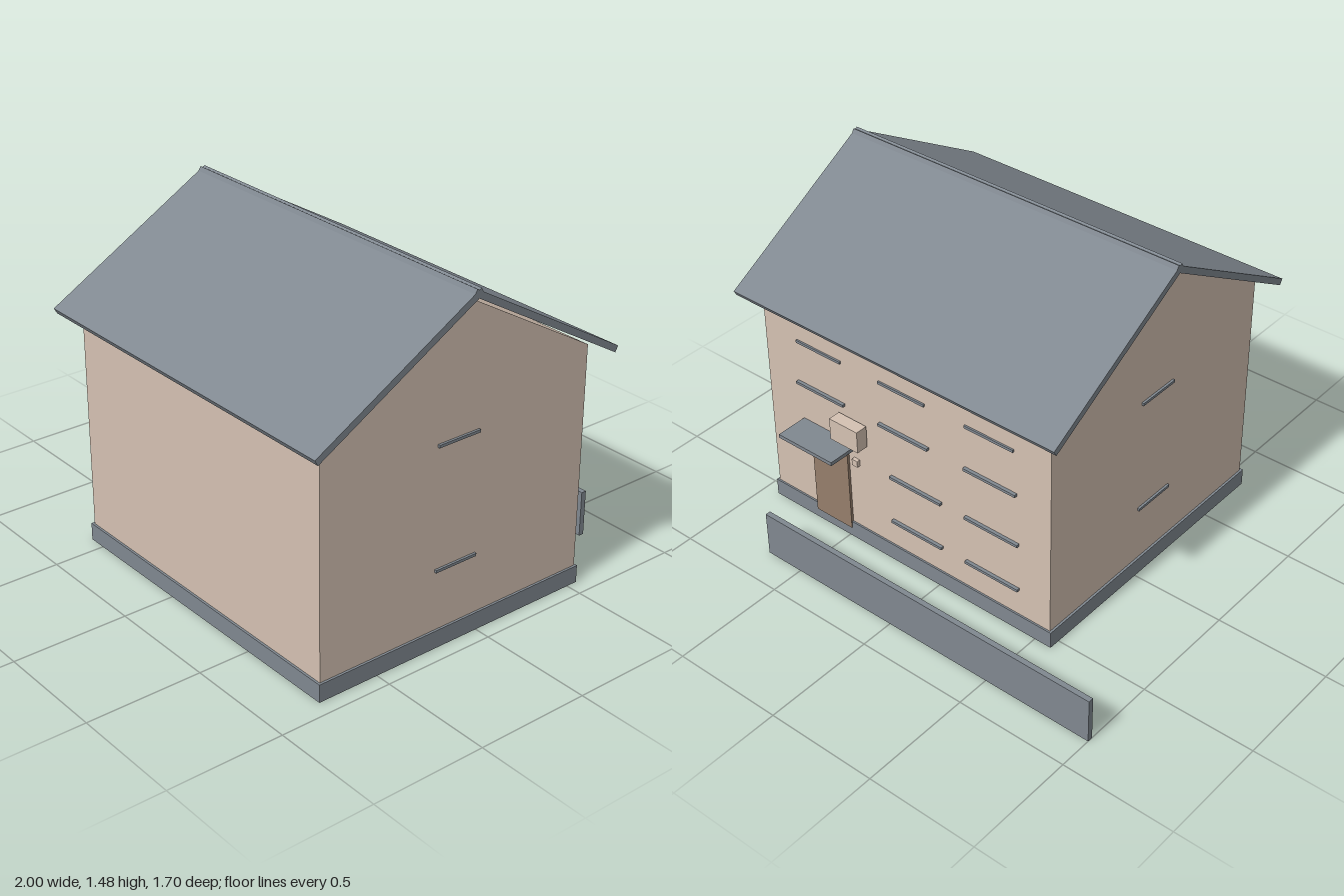
import * as THREE from 'three';

export function createModel() {
  const house = new THREE.Group();
  house.name = 'house';

  const material = (name, color) => {
    const m = new THREE.MeshStandardMaterial({ color });
    m.name = name;
    return m;
  };
  const plaster = material('plaster', 0xd4c1b2);
  const slate = material('slate grey', 0x808890);
  const wood = material('door wood', 0x957e6b);

  // Box given by its limits on each axis
  const box = (name, mat, [x0, x1], [y0, y1], [z0, z1]) => {
    const mesh = new THREE.Mesh(new THREE.BoxGeometry(x1 - x0, y1 - y0, z1 - z0), mat);
    mesh.position.set((x0 + x1) / 2, (y0 + y1) / 2, (z0 + z1) / 2);
    mesh.name = name;
    house.add(mesh);
    return mesh;
  };

  const left = 0.92, right = -0.57, front = 0.765, back = -0.543, ridgeZ = 0.113;

  // Gabled body: profile in (z, y) extruded along x
  const base = 0.04;
  const profile = new THREE.Shape([
    [-front, base], [-back, base], [-back, 1.05], [-ridgeZ, 1.428], [-front, 1.05],
  ].map(([u, y]) => new THREE.Vector2(u, y)));
  const bodyGeometry = new THREE.ExtrudeGeometry(profile, { depth: left - right, bevelEnabled: false });
  bodyGeometry.rotateY(Math.PI / 2).translate(right, 0, 0);
  const body = new THREE.Mesh(bodyGeometry, plaster);
  body.name = 'walls';
  house.add(body);

  // Plinth
  box('plinth', slate, [right - 0.01, left + 0.01], [0, 0.077], [back - 0.008, front + 0.01]);

  // Two roof slabs that cross slightly at the ridge
  const slope = Math.PI / 6, thickness = 0.028, roofLength = 1.645;
  const slabLength = (0.737 + 0.01) / Math.cos(slope);
  for (const side of [1, -1]) {
    const geometry = new THREE.BoxGeometry(roofLength, thickness, slabLength);
    geometry.translate(0, -thickness / 2, -slabLength / 2); // origin at the upper eave edge
    const slab = new THREE.Mesh(geometry, slate);
    slab.rotation.x = slope;
    const half = new THREE.Group();
    half.name = side > 0 ? 'frontRoof' : 'backRoof';
    slab.name = half.name + 'Slab';
    slab.position.set(0, 1.05, 0.737);
    half.add(slab);
    half.position.set(0.1775, 0, ridgeZ);
    if (side < 0) half.rotation.y = Math.PI;
    house.add(half);
  }

  // Sills on the gable ends
  for (const y of [0.339, 0.865]) {
    box('leftGableSill', slate, [left - 0.005, left + 0.01], [y - 0.006, y + 0.006], [0.012, 0.215]);
    box('rightGableSill', slate, [right - 0.01, right + 0.005], [y - 0.006, y + 0.006], [0.012, 0.215]);
  }

  // Rows of sills on the back wall: height, length, projection, centres
  const rows = [
    [0.882, 0.24, 0.008, [0.62, 0.175, -0.27]],
    [0.678, 0.26, 0.015, [0.62, 0.17, -0.275]],
    [0.435, 0.27, 0.015, [0.115, -0.28]],
    [0.207, 0.27, 0.015, [0.115, -0.28]],
  ];
  for (const [y, length, out, centres] of rows) {
    for (const x of centres) {
      box('backSill', slate, [x - length / 2, x + length / 2], [y - 0.006, y + 0.006], [back - out, back + 0.005]);
    }
  }

  // Entrance: door, canopy, wall lamp and the box above
  box('door', wood, [0.485, 0.685], [0.045, 0.432], [back - 0.012, back + 0.005]);
  box('canopy', slate, [0.44, 0.735], [0.48, 0.497], [-0.69, back]);
  box('wallLamp', plaster, [0.425, 0.455], [0.4, 0.43], [back - 0.017, back]);
  box('wallBox', plaster, [0.37, 0.52], [0.53, 0.632], [-0.607, -0.551]);

  // Free-standing wall behind the house
  box('gardenWall', slate, [-1, 0.68], [0, 0.205], [-0.85, -0.826]);

  return house;
}
